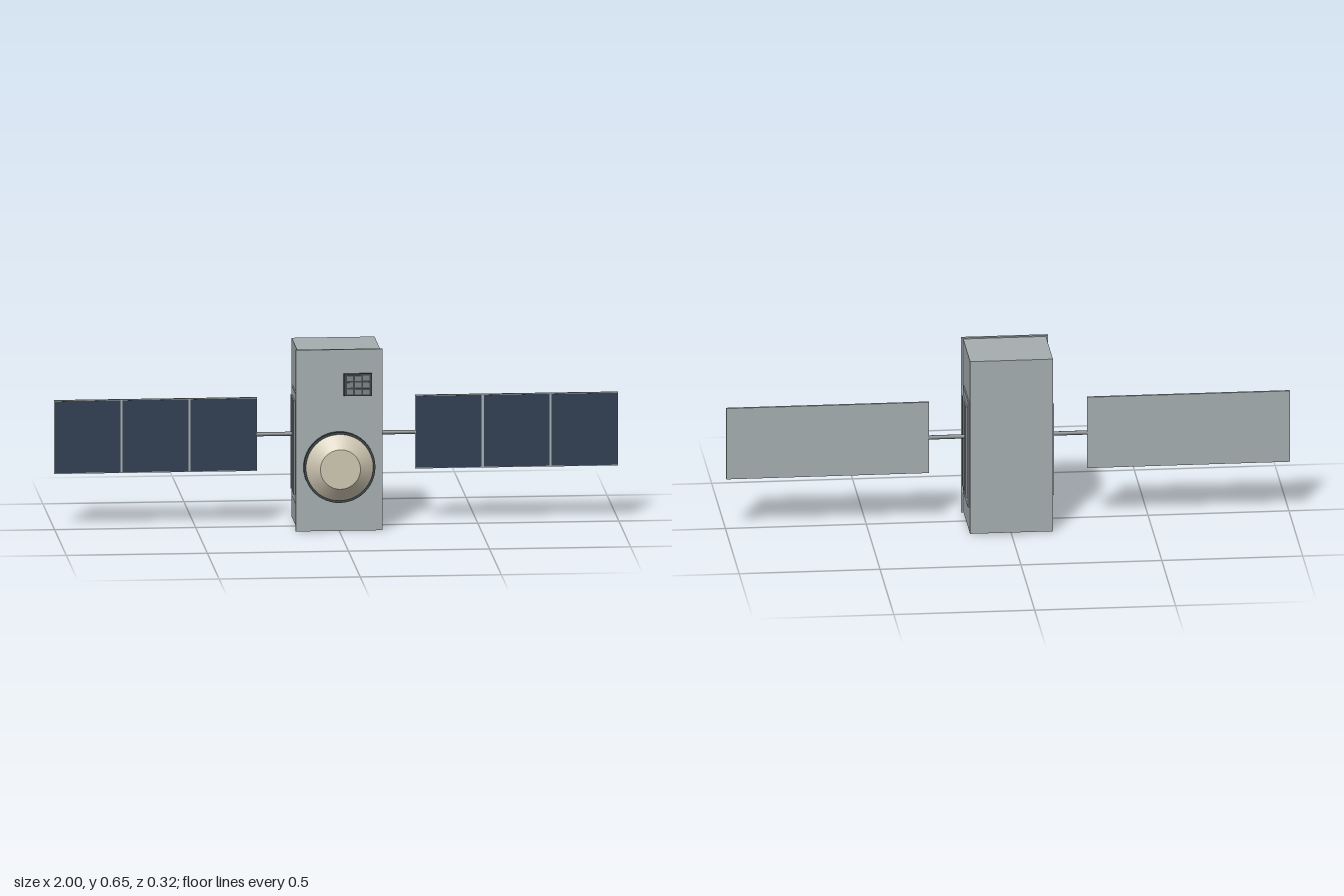
import * as THREE from 'three';

const mat = (name, color) => {
  const m = new THREE.MeshStandardMaterial({ color });
  m.name = name;
  return m;
};

export function createModel() {
  const root = new THREE.Group();
  root.name = 'satellite';
  const grey = mat('hull grey', 0xa5adb0);
  const strut = mat('strut grey', 0x7d8386);
  const dark = mat('dark trim', 0x3b4447);
  const navy = mat('solar cell navy', 0x2d3b50);
  const cream = mat('dish cream', 0xcdc5b1);

  const add = (name, geo, m, parent = root) => {
    const mesh = new THREE.Mesh(geo, m);
    mesh.name = name;
    parent.add(mesh);
    return mesh;
  };
  // Box given by its lower and upper corners
  const box = (name, m, [x0, y0, z0], [x1, y1, z1], parent) => {
    const g = new THREE.BoxGeometry(x1 - x0, y1 - y0, z1 - z0);
    g.translate((x0 + x1) / 2, (y0 + y1) / 2, (z0 + z1) / 2);
    return add(name, g, m, parent);
  };

  // Hull and slightly larger front plate
  box('hull', grey, [-0.147, 0.005, -0.157], [0.147, 0.647, 0.095], root);
  box('frontPlate', grey, [-0.154, 0, 0.094], [0.154, 0.651, 0.106], root);

  // Antenna: dark rim and truncated cone, facing the front
  const antenna = new THREE.Group();
  antenna.name = 'antenna';
  antenna.position.set(0, 0.23, 0.106);
  antenna.rotation.x = Math.PI / 2;
  root.add(antenna);
  add('antennaRim', new THREE.CylinderGeometry(0.127, 0.127, 0.016, 48), dark, antenna).position.y = 0.008;
  add('antennaCone', new THREE.CylinderGeometry(0.071, 0.119, 0.038, 48), cream, antenna).position.y = 0.035;

  // Sensor block with a grid of small tiles
  const sensor = new THREE.Group();
  sensor.name = 'sensorBlock';
  sensor.position.set(0.066, 0.525, 0.106);
  root.add(sensor);
  box('sensorBase', dark, [-0.05, -0.04, 0], [0.05, 0.04, 0.01], sensor);
  for (let i = -1; i <= 1; i++) {
    for (let j = -1; j <= 1; j++) {
      const x = i * 0.029, y = j * 0.0245;
      box('sensorTile', strut, [x - 0.011, y - 0.009, 0.009], [x + 0.011, y + 0.009, 0.014], sensor);
    }
  }

  for (const side of [1, -1]) {
    const half = new THREE.Group();
    half.name = side > 0 ? 'leftSide' : 'rightSide';
    // Turning about y mirrors the half; z offsets are measured from the wing plane
    half.position.z = -0.03;
    root.add(half);
    const sbox = (name, m, [x0, y0, z0], [x1, y1, z1]) =>
      side > 0 ? box(name, m, [x0, y0, z0], [x1, y1, z1], half)
        : box(name, m, [-x1, y0, z0], [-x0, y1, z1], half);

    // Raised radiator panel with vertical ribs
    sbox('radiatorPanel', grey, [0.14, 0.09, -0.086], [0.151, 0.486, 0.085]);
    for (let i = 0; i < 4; i++) {
      const z = -0.057 + i * 0.038;
      sbox('radiatorRib', grey, [0.15, 0.12, z - 0.009], [0.156, 0.456, z + 0.009]);
    }

    // Boom and solar wing
    const boom = add('boom', new THREE.CylinderGeometry(0.0075, 0.0075, 0.14, 16), strut, half);
    boom.rotation.z = Math.PI / 2;
    boom.position.set(side * 0.212, 0.326, 0);
    sbox('wingFrame', grey, [0.28, 0.195, -0.005], [1, 0.459, 0.004]);
    for (let i = 0; i < 3; i++) {
      const x = 0.283 + i * 0.2405;
      sbox('solarCell', navy, [x, 0.198, 0.003], [x + 0.233, 0.456, 0.005]);
    }
  }
  return root;
}
